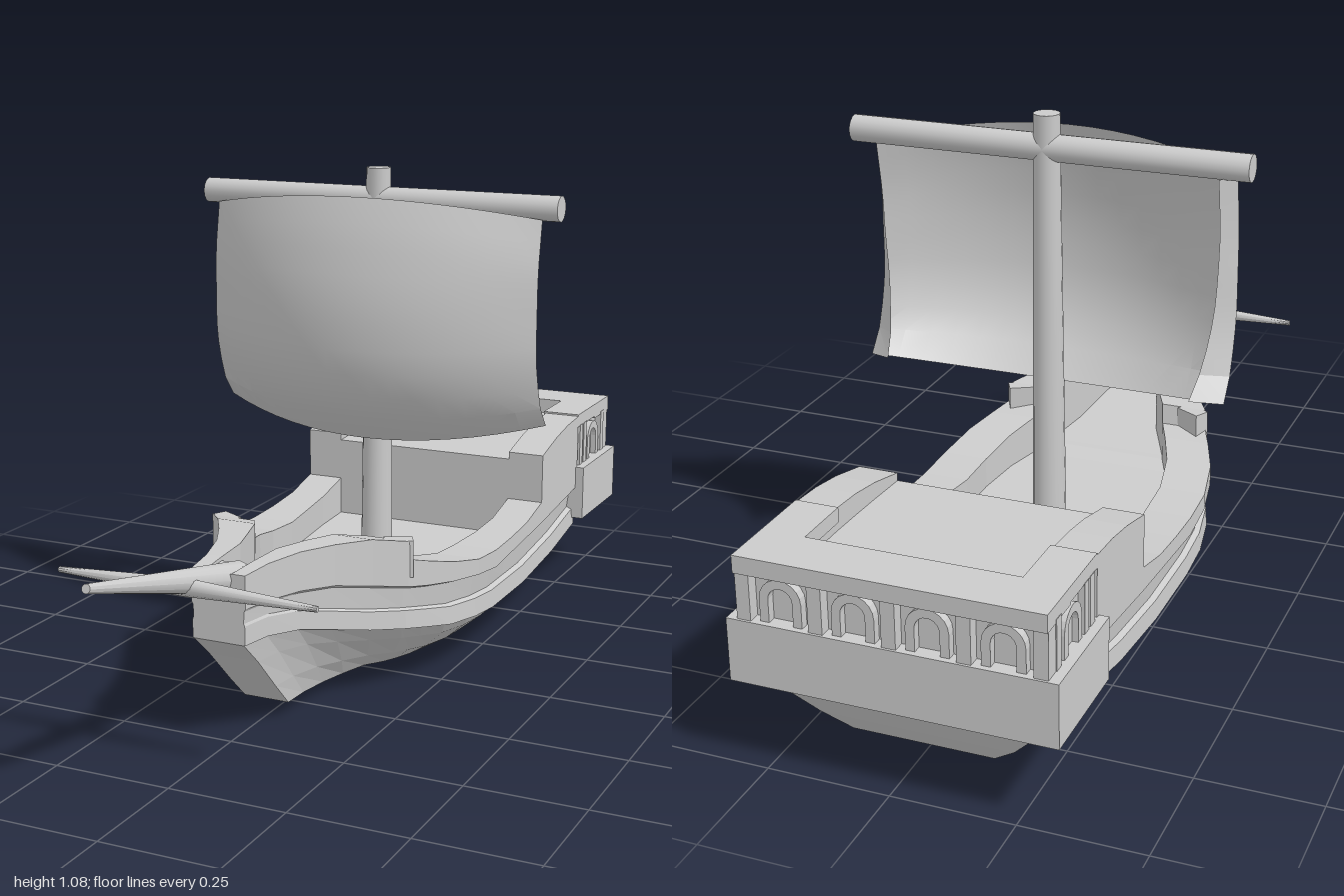
import * as THREE from 'three';
import { toCreasedNormals } from 'three/addons/utils/BufferGeometryUtils.js';

const flat = new THREE.MeshStandardMaterial({ color: 0xcccccc, flatShading: true, side: THREE.DoubleSide });
const smooth = new THREE.MeshStandardMaterial({ color: 0xcccccc, side: THREE.DoubleSide });

const add = (parent, name, geometry, material = flat) => {
  const mesh = new THREE.Mesh(geometry, material);
  mesh.name = name;
  parent.add(mesh);
  return mesh;
};

const box = (parent, name, x0, x1, y0, y1, z0, z1) => {
  const m = add(parent, name, new THREE.BoxGeometry(x1 - x0, y1 - y0, z1 - z0));
  m.position.set((x0 + x1) / 2, (y0 + y1) / 2, (z0 + z1) / 2);
  return m;
};

// Tapered round spar between two points
const spar = (parent, name, a, b, ra, rb, sides = 16) => {
  const from = new THREE.Vector3(...a), to = new THREE.Vector3(...b);
  const m = add(parent, name, toCreasedNormals(new THREE.CylinderGeometry(rb, ra, from.distanceTo(to), sides), 0.7), smooth);
  m.position.copy(from).add(to).multiplyScalar(0.5);
  m.quaternion.setFromUnitVectors(new THREE.Vector3(0, 1, 0), to.sub(from).normalize());
  return m;
};

// Piecewise-linear lookup in a list of [position, value]
const along = (table, p) => {
  if (p <= table[0][0]) return table[0][1];
  for (let i = 1; i < table.length; i++) {
    const [p0, v0] = table[i - 1], [p1, v1] = table[i];
    if (p <= p1) return v0 + (v1 - v0) * (p - p0) / (p1 - p0);
  }
  return table[table.length - 1][1];
};

// Surface from a grid of points (rows of equal length)
const gridGeometry = (rows, wrap = false, extraQuads = []) => {
  const n = rows[0].length, index = [];
  const quad = (a, b, c, d) => index.push(a, b, c, a, c, d);
  for (let i = 0; i < rows.length - 1; i++)
    for (let j = 0; j < (wrap ? n : n - 1); j++) {
      const k = (j + 1) % n;
      quad(i * n + j, i * n + k, (i + 1) * n + k, (i + 1) * n + j);
    }
  extraQuads.forEach((q) => quad(...q));
  const g = new THREE.BufferGeometry();
  g.setAttribute('position', new THREE.Float32BufferAttribute(rows.flat(2), 3));
  g.setIndex(index);
  g.computeVertexNormals();
  return g;
};

// Hull lines along z: keel height, lower strake, upper wale
const keel = [[-0.97, 0.035], [-0.78, 0.03], [-0.65, 0.012], [-0.5, 0], [-0.15, 0], [0, 0.01], [0.2, 0.03], [0.53, 0.03]];
const strake = [[-0.97, 0.18], [-0.8, 0.165], [-0.6, 0.13], [-0.4, 0.11], [-0.2, 0.11], [0, 0.13], [0.2, 0.165], [0.4, 0.215], [0.53, 0.22]];
const wale = [[-0.97, 0.27], [-0.5, 0.222], [-0.2, 0.2], [0.1, 0.235], [0.3, 0.28], [0.53, 0.29]];
const keelRatio = [[0, 0.5], [0.25, 0.58], [0.53, 0.85]];

// Stations: z, half width, rail top, deck height, rail width
const stations = [
  [-0.97, 0.29, 0.425, 0.385, 0.07], [-0.76, 0.295, 0.432, 0.385, 0.075], [-0.76, 0.305, 0.432, 0.385, 0.085],
  [-0.68, 0.305, 0.427, 0.383, 0.085], [-0.6, 0.305, 0.415, 0.38, 0.085], [-0.5, 0.305, 0.392, 0.375, 0.085],
  [-0.5, 0.305, 0.278, 0.19, 0.085], [-0.4, 0.305, 0.256, 0.185, 0.085], [-0.3, 0.305, 0.248, 0.18, 0.09],
  [-0.2, 0.305, 0.245, 0.18, 0.1], [-0.1, 0.303, 0.252, 0.185, 0.1], [0, 0.285, 0.272, 0.195, 0.1],
  [0.07, 0.257, 0.29, 0.205, 0.1], [0.115, 0.236, 0.303, 0.215, 0.1], [0.125, 0.232, 0.345, 0.22, 0.1],
  [0.2, 0.182, 0.363, 0.25, 0.09], [0.28, 0.135, 0.368, 0.28, 0.07], [0.36, 0.096, 0.37, 0.305, 0.055],
  [0.45, 0.07, 0.368, 0.325, 0.035], [0.45, 0.07, 0.368, 0.36, 0.035], [0.53, 0.06, 0.364, 0.356, 0.03],
];

function hullSection([z, w, top, deck, rail]) {
  const zk = -0.87 + (z + 0.97) * 1.2 / 1.5;
  const k = along(keel, z), s = along(strake, z), u = along(wale, z), r = along(keelRatio, z);
  const slant = (f) => z + (zk - z) * f;
  const mix = (f) => w * (r + (0.93 - r) * f);
  const half = [
    [0, k, zk], [w * r, k, zk],
    [mix(0.42), k + (s - k) * 0.3, slant(0.7)], [mix(0.84), k + (s - k) * 0.72, slant(0.3)],
    [w * 0.93, s, z], [w * 0.98, s, z], [w * 0.97, s + 0.04, z], [w * 0.93, s + 0.045, z],
    [w * 0.95, u, z], [w, u + 0.005, z], [w, top, z],
    [w - rail, top, z], [w - rail, deck, z], [0, deck, z],
  ];
  const mirrored = half.slice(1, -1).reverse().map(([x, y, q]) => [-x, y, q]);
  return [...half, ...mirrored];
}

function hullGeometry() {
  const rows = stations.map(hullSection), n = rows[0].length, last = (rows.length - 1) * n;
  const ends = [];
  for (let j = 0; j < 10; j++) {
    const l0 = (n - j) % n, l1 = n - j - 1;
    ends.push([last + j, last + j + 1, last + l1, last + l0], [l0, l1, j + 1, j]);
  }
  return gridGeometry(rows, true, ends);
}

// Billowing sail whose side edges curl back
function sailGeometry() {
  const mid = [[0, -0.14], [0.15, -0.07], [0.35, -0.035], [0.6, -0.035], [0.85, -0.06], [1, -0.09]];
  const edge = [[0, -0.245], [0.12, -0.2], [0.35, -0.17], [0.75, -0.17], [1, -0.19]];
  const rows = [];
  for (let i = 0; i <= 10; i++) {
    const v = i / 10, row = [];
    const point = (u) => {
      const bulge = 1 - Math.pow(Math.abs(u), 2);
      const low = 0.53 - 0.045 * bulge, high = 0.99 + 0.04 * bulge;
      const e = along(edge, v);
      return [u * 0.39, low + (high - low) * v, e + (along(mid, v) - e) * bulge];
    };
    const curl = (side) => {
      const [x, y, z] = point(side);
      return [x - side * (0.025 + 0.035 * (1 - v) ** 3), y + 0.015 * (1 - v), z - 0.045];
    };
    row.push(curl(-1));
    for (let j = 0; j <= 16; j++) row.push(point(j / 8 - 1));
    row.push(curl(1));
    rows.push(row.reverse());
  }
  return toCreasedNormals(gridGeometry(rows), 0.25);
}

// Arched window frame standing on y = 0, facing +z
function archGeometry(w, h, t, depth) {
  const outline = (Path, r) => {
    const p = new Path();
    p.moveTo(r, 0);
    p.lineTo(r, h - w / 2);
    p.absarc(0, h - w / 2, r, 0, Math.PI, false);
    p.lineTo(-r, 0);
    return p;
  };
  const shape = outline(THREE.Shape, w / 2);
  const inner = outline(THREE.Path, w / 2 - t).getPoints(5).reverse();
  inner.forEach((p) => shape.lineTo(p.x, p.y));
  return new THREE.ExtrudeGeometry(shape, { depth, bevelEnabled: false, curveSegments: 5 });
}

function sternGallery() {
  const g = new THREE.Group();
  g.name = 'sternGallery';
  box(g, 'galleryBase', -0.325, 0.325, 0.175, 0.305, -1, -0.75);
  box(g, 'sternRail', -0.305, 0.305, 0.4, 0.436, -1, -0.89);
  const arch = archGeometry(0.085, 0.09, 0.018, 0.02);
  for (let i = 0; i < 4; i++) {
    const a = add(g, 'sternArch', arch);
    a.position.set((i - 1.5) * 0.145, 0.305, -0.968);
    a.rotation.y = Math.PI;
  }
  for (let i = 0; i < 5; i++) {
    const x = (i - 2) * 0.145;
    box(g, 'sternPillar', x - 0.014, x + 0.014, 0.305, 0.402, -0.995, -0.96);
  }
  for (const s of [-1, 1]) {
    box(g, 'sideRail', s * 0.26 - 0.045, s * 0.26 + 0.045, 0.405, 0.436, -0.99, -0.76);
    const a = add(g, 'sideArch', arch);
    a.position.set(s * 0.285, 0.305, -0.88);
    a.rotation.y = s * Math.PI / 2;
    for (const z of [-0.785, -0.815, -0.95])
      box(g, 'sidePillar', s * 0.294 - 0.012, s * 0.294 + 0.012, 0.305, 0.407, z - 0.011, z + 0.011);
  }
  return g;
}

export function createModel() {
  const ship = new THREE.Group();
  ship.name = 'sailingShip';

  const body = new THREE.Group();
  body.name = 'body';
  body.position.x = -0.008;
  ship.add(body);
  add(body, 'hull', hullGeometry());
  body.add(sternGallery());

  // Posts where the raised bow rail begins
  for (const s of [-1, 1]) {
    const post = box(body, 'bowRailPost', s * 0.205 - 0.03, s * 0.205 + 0.03, 0.265, 0.345, 0.1, 0.135);
    post.rotation.y = s * 0.5;
  }

  // Mast, yard and sail
  spar(ship, 'mast', [0, 0.17, -0.21], [0, 1.083, -0.21], 0.036, 0.027);
  spar(ship, 'yard', [-0.425, 1.013, -0.21], [0.425, 1.013, -0.21], 0.028, 0.028);
  add(ship, 'sail', sailGeometry(), smooth);

  // Bowsprit with its small cross spar
  spar(ship, 'bowsprit', [-0.008, 0.33, 0.45], [-0.008, 0.47, 0.998], 0.034, 0.009, 12);
  for (const s of [-1, 1])
    spar(ship, 'crossSpar', [-0.008, 0.372, 0.66], [-0.008 + s * 0.28, 0.369, 0.66], 0.018, 0.006, 10);
  return ship;
}
